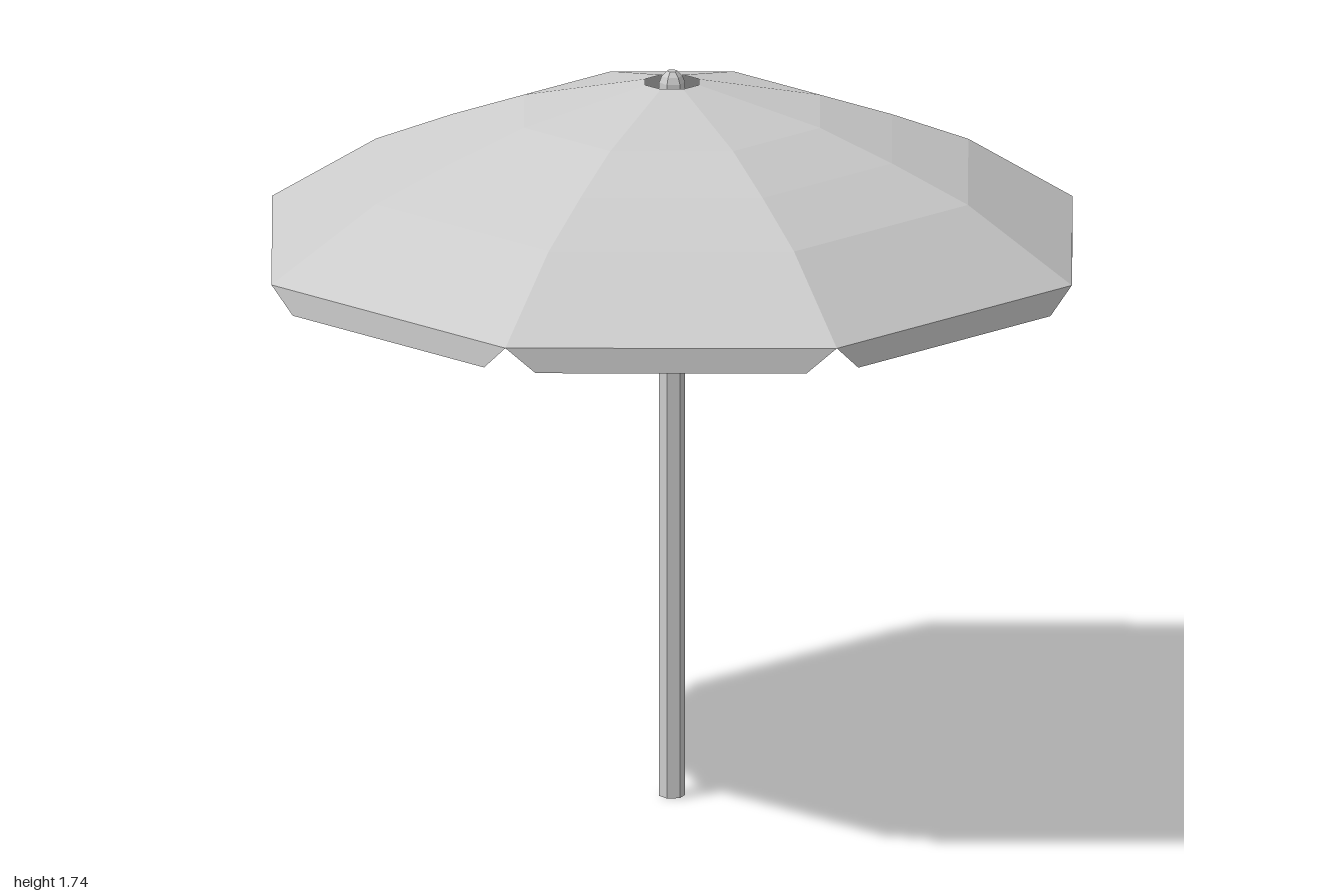
import * as THREE from 'three';

const SIDES = 8;
const RIM_Y = 1.33, FLAP_Y = 1.27, FLAP_INSET = 0.091;

const profile = (pairs) => pairs.map(([r, y]) => new THREE.Vector2(r, y));

export function createModel() {
  const group = new THREE.Group();
  group.name = 'parasol';
  const solid = new THREE.MeshStandardMaterial({ color: 0xcccccc, flatShading: true });
  const cloth = new THREE.MeshStandardMaterial({ color: 0xcccccc, flatShading: true, side: THREE.DoubleSide });

  const add = (name, geometry, material) => {
    const mesh = new THREE.Mesh(geometry, material);
    mesh.name = name;
    group.add(mesh);
    return mesh;
  };

  // Six-sided pole with a chamfered tip
  add('pole', new THREE.LatheGeometry(profile([
    [0, 0], [0.03, 0], [0.03, 1.71], [0.024, 1.725], [0.012, 1.737], [0, 1.737],
  ]), 6), solid);

  // Thin eight-sided canopy, open around the pole
  add('canopy', new THREE.LatheGeometry(profile([
    [1, RIM_Y], [0.74, 1.495], [0.55, 1.574], [0.37, 1.64], [0.067, 1.71],
  ]), SIDES), cloth);

  // Hanging valance: one tapered flap per canopy side
  const half = Math.sin(Math.PI / SIDES);
  const apothem = Math.cos(Math.PI / SIDES);
  const lower = half * (1 - 2 * FLAP_INSET);
  const flap = new THREE.ShapeGeometry(new THREE.Shape(profile([
    [-half, RIM_Y], [-lower, FLAP_Y], [lower, FLAP_Y], [half, RIM_Y],
  ])));
  flap.translate(0, 0, apothem);
  for (let i = 0; i < SIDES; i++) {
    add('valanceFlap', flap, cloth).rotation.y = ((i + 0.5) / SIDES) * Math.PI * 2;
  }

  return group;
}
